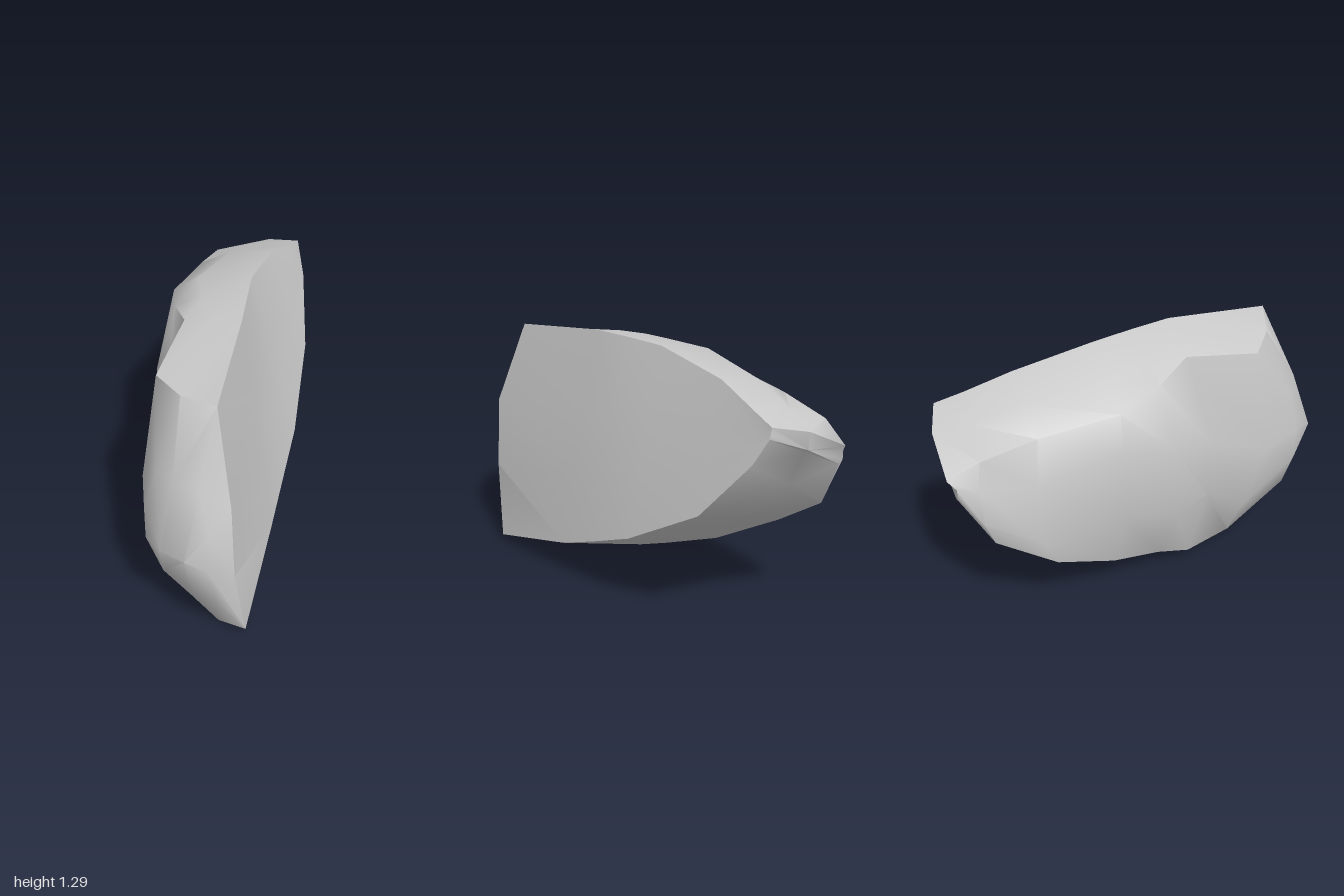
import * as THREE from 'three';
import { toCreasedNormals } from 'three/addons/utils/BufferGeometryUtils.js';

const v = (p) => new THREE.Vector3(...p);
const mix = (a, b, t) => a.clone().lerp(b, t);

// One cross-section from its seven corners: top and bottom of the flat face,
// lower left, left bulge, upper left, top left edge and crown.
function section(...corners) {
  const [top, bottom, low, bulge, high, edge, crown] = corners.map(v);
  return [top, mix(top, bottom, 0.36), mix(top, bottom, 0.68), bottom,
    mix(bottom, low, 0.5), low, bulge, high, edge, crown];
}

// Skin a list of equally long rings, skipping collapsed triangles.
function loft(rings) {
  const out = [];
  const tri = (a, b, c) => {
    if (a.equals(b) || b.equals(c) || c.equals(a)) return;
    for (const p of [a, b, c]) out.push(p.x, p.y, p.z);
  };
  for (let i = 0; i < rings.length - 1; i++) {
    const r = rings[i], s = rings[i + 1], n = r.length;
    for (let j = 0; j < n; j++) {
      const k = (j + 1) % n;
      tri(r[j], r[k], s[k]);
      tri(r[j], s[k], s[j]);
    }
  }
  const g = new THREE.BufferGeometry();
  g.setAttribute('position', new THREE.Float32BufferAttribute(out, 3));
  return g;
}

export function createModel() {
  // bulging front: a short blunt ridge, a ring around it and the rim
  const tip = [...Array(5).fill(v([0.22, 0.57, 1.0])), ...Array(5).fill(v([0.1, 0.57, 0.975]))];
  const swell = [[0.25, 0.88, 0.89], [0.31, 0.7, 0.94], [0.31, 0.5, 0.955], [0.33, 0.3, 0.91], [0.2, 0.25, 0.88],
    [0.03, 0.28, 0.81], [-0.04, 0.48, 0.83], [-0.04, 0.65, 0.83], [0.01, 0.85, 0.8], [0.12, 0.88, 0.87]].map(v);
  const rim = [[0.27, 1.22, 0.74], [0.38, 0.8, 0.86], [0.4, 0.43, 0.87], [0.43, 0.04, 0.8], [0.28, 0, 0.76],
    [0.05, 0.01, 0.52], [-0.12, 0.3, 0.52], [-0.14, 0.65, 0.63], [-0.085, 1.17, 0.56], [0.08, 1.185, 0.68]].map(v);

  // body from the notch on the left side to the narrow back
  const body = [
    section([0.17, 1.29, 0.2], [0.36, 0.19, 0.25], [-0.105, 0.06, 0.23], [-0.165, 0.45, 0.3], [-0.16, 0.75, 0.32], [-0.11, 1.23, 0.19], [0.03, 1.265, 0.2]),
    section([0.12, 1.29, 0], [0.33, 0.29, 0], [-0.15, 0.13, 0.05], [-0.33, 0.5, 0.08], [-0.31, 0.85, 0.08], [-0.23, 1.18, 0.02], [-0.1, 1.25, 0]),
    section([0.07, 1.285, -0.2], [0.3, 0.4, -0.26], [-0.26, 0.235, -0.22], [-0.41, 0.62, -0.2], [-0.375, 0.95, -0.2], [-0.335, 1.13, -0.2], [-0.2, 1.23, -0.2]),
    section([0.035, 1.22, -0.6], [0.21, 0.65, -0.68], [-0.395, 0.42, -0.53], [-0.435, 0.58, -0.6], [-0.39, 0.87, -0.6], [-0.345, 1.09, -0.58], [-0.19, 1.175, -0.6]),
    section([0.045, 1.15, -0.82], [0.11, 0.94, -0.91], [-0.395, 0.61, -0.81], [-0.41, 0.73, -0.85], [-0.39, 0.9, -0.86], [-0.36, 1.035, -0.84], [-0.16, 1.105, -0.84]),
    section([0.055, 1.11, -0.96], [0.065, 1.06, -0.96], [-0.345, 0.86, -0.955], [-0.37, 0.875, -0.95], [-0.37, 0.92, -0.95], [-0.345, 0.955, -0.985], [-0.12, 1.068, -1.0]),
  ];
  const back = Array(10).fill(v([-0.13, 0.98, -0.985]));

  const rock = new THREE.Mesh(
    toCreasedNormals(loft([tip, swell, rim, ...body, back]), THREE.MathUtils.degToRad(50)),
    new THREE.MeshStandardMaterial({ color: 0xcccccc })
  );
  rock.name = 'rock';
  const group = new THREE.Group();
  group.name = 'rockSlab';
  group.add(rock);
  return group;
}
